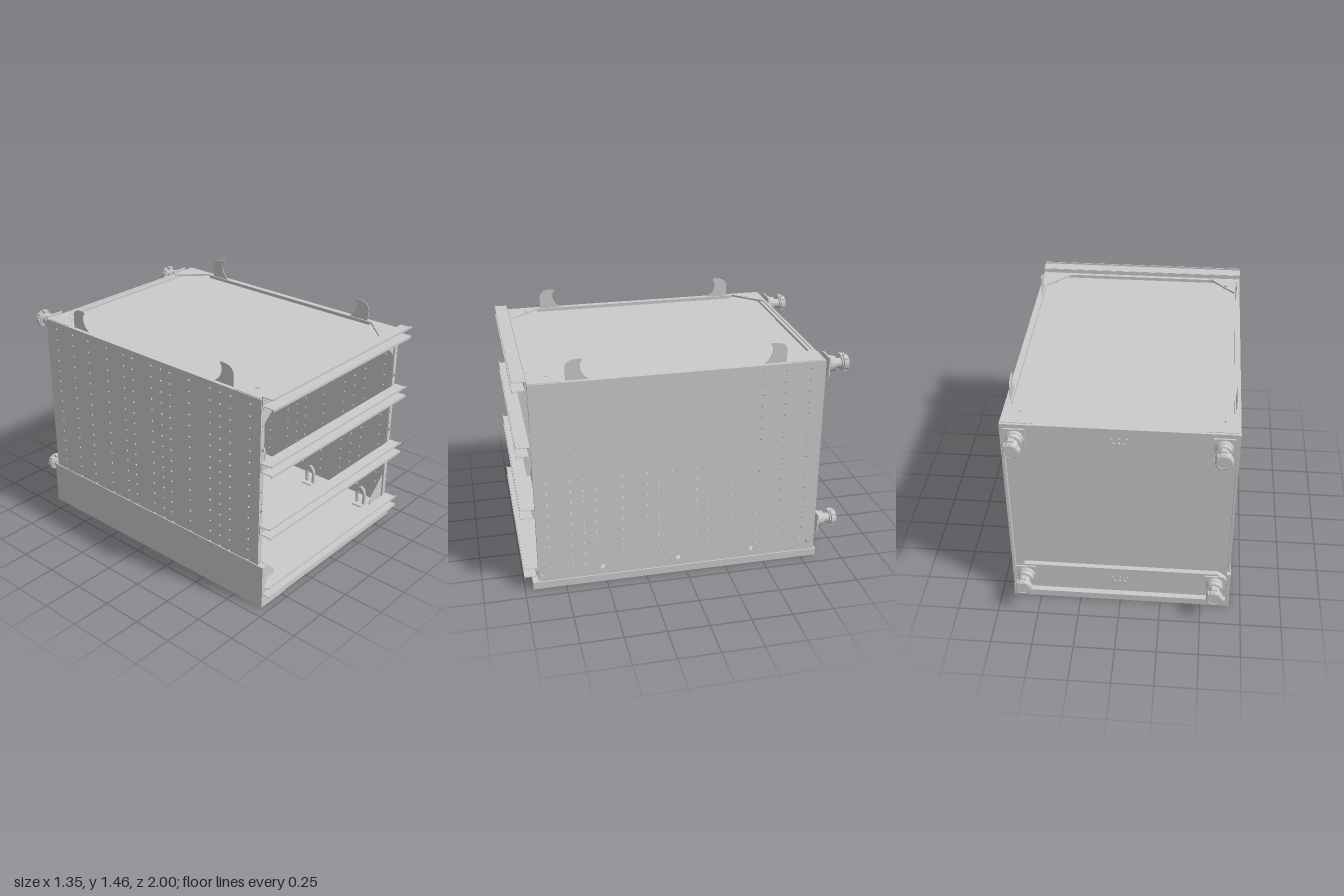
import * as THREE from 'three';

const mat = new THREE.MeshStandardMaterial({ color: 0xcccccc, side: THREE.DoubleSide });
const flat = new THREE.MeshStandardMaterial({ color: 0xcccccc, side: THREE.DoubleSide, flatShading: true });

function add(parent, name, geo, x = 0, y = 0, z = 0, m = mat) {
  const mesh = new THREE.Mesh(geo, m);
  mesh.name = name;
  mesh.position.set(x, y, z);
  parent.add(mesh);
  return mesh;
}

// box given by its extents
function box(parent, name, x0, x1, y0, y1, z0, z1) {
  return add(parent, name, new THREE.BoxGeometry(x1 - x0, y1 - y0, z1 - z0),
    (x0 + x1) / 2, (y0 + y1) / 2, (z0 + z1) / 2);
}

// sheet outline with round holes given as [x, y, radius]
function sheet(points, thickness, holes = []) {
  const s = new THREE.Shape(points.map(p => new THREE.Vector2(p[0], p[1])));
  for (const [x, y, r] of holes) s.holes.push(new THREE.Path().absarc(x, y, r, 0, Math.PI * 2, true));
  return new THREE.ExtrudeGeometry(s, { depth: thickness, bevelEnabled: false, curveSegments: 8 });
}
const rect = (x0, x1, y0, y1) => [[x0, y0], [x1, y0], [x1, y1], [x0, y1]];

function sideWalls(g) {
  const cols = [0.84, 0.70, 0.625, 0.55, 0.39, 0.24, 0.17, 0.09, -0.065, -0.14, -0.285, -0.45, -0.59, -0.74];
  const holes = [];
  for (const z of cols) for (let i = 0; i < 17; i++) holes.push([z, 0.14 + i * 0.0719, 0.006]);
  for (const z of [0.89, 0.52, 0.05, -0.42, -0.79]) holes.push([z, 0.105, 0.015]);
  const geo = sheet(rect(-0.82, 0.915, 0.06, 1.335), 0.008, holes).rotateY(-Math.PI / 2);
  add(g, 'leftWall', geo, 0.672);
  add(g, 'rightWall', geo, -0.664);
}

// open hat-section rail across the front
function rail(g, y) {
  const r = new THREE.Group();
  r.name = 'frontRail';
  const holes = [-0.66, -0.6, -0.495, -0.02, 0, 0.02, 0.495, 0.6, 0.66].map(x => [x, 0, 0.006]);
  add(r, 'railWeb', sheet(rect(-0.675, 0.675, -0.027, 0.027), 0.008, holes), 0, 0, 0.92);
  for (const s of [-1, 1]) {
    add(r, 'railFlange', new THREE.BoxGeometry(1.35, 0.004, 0.076), 0, s * 0.027, 0.96);
    add(r, 'railLip', new THREE.BoxGeometry(1.35, 0.013, 0.004), 0, s * 0.0335, 0.998);
  }
  r.position.y = y;
  g.add(r);
}

// flanged plug on the back, axis along z
function connector(g, x, y) {
  const c = new THREE.Group();
  c.name = 'connector';
  const profile = [[0, -0.04], [0.022, -0.04], [0.022, 0], [0.052, 0.012], [0.052, 0.03], [0.046, 0.032],
    [0.046, 0.058], [0.03, 0.06], [0.03, 0.095], [0.04, 0.097], [0.04, 0.105], [0.05, 0.107],
    [0.05, 0.135], [0.042, 0.14], [0.042, 0.134], [0, 0.134]];
  const geo = new THREE.LatheGeometry(profile.map(p => new THREE.Vector2(p[0], p[1])), 16).rotateX(-Math.PI / 2);
  add(c, 'plugBody', geo, 0, 0, 0, flat);
  add(c, 'plugFlange', new THREE.BoxGeometry(0.12, 0.12, 0.01), 0, 0, -0.007);
  for (let i = 0; i < 8; i++) {
    const a = i * Math.PI / 4;
    add(c, 'plugGrip', new THREE.BoxGeometry(0.012, 0.012, 0.03), 0.046 * Math.cos(a), 0.046 * Math.sin(a), -0.12);
  }
  add(c, 'plugLatch', new THREE.BoxGeometry(0.03, 0.014, 0.03), 0, 0.052, -0.1);
  c.position.set(x, y, -0.86);
  g.add(c);
}

function hookGeometry() {
  const s = new THREE.Shape();
  s.moveTo(0.70, 1.28);
  s.lineTo(0.70, 1.415);
  s.bezierCurveTo(0.695, 1.45, 0.66, 1.465, 0.605, 1.46);
  s.bezierCurveTo(0.59, 1.45, 0.625, 1.44, 0.612, 1.40);
  s.quadraticCurveTo(0.60, 1.355, 0.56, 1.335);
  s.lineTo(0.56, 1.28);
  return new THREE.ExtrudeGeometry(s, { depth: 0.005, bevelEnabled: false, curveSegments: 10 }).rotateY(-Math.PI / 2);
}

// upright ring on a foot plate
function tieDown(g, x, z) {
  const t = new THREE.Group();
  t.name = 'tieDown';
  add(t, 'footPlate', new THREE.BoxGeometry(0.09, 0.008, 0.07), 0, 0.004, 0);
  const arch = new THREE.CatmullRomCurve3([[-0.025, 0], [-0.025, 0.09], [0, 0.125], [0.025, 0.09], [0.025, 0]]
    .map(p => new THREE.Vector3(0, p[1], p[0])));
  add(t, 'arch', new THREE.TubeGeometry(arch, 16, 0.012, 8));
  t.position.set(x, 0.07, z);
  g.add(t);
}

export function createModel() {
  const g = new THREE.Group();
  g.name = 'equipmentCrate';

  // base, floor and skirt
  box(g, 'base', -0.672, 0.672, 0, 0.046, -0.85, 0.95);
  box(g, 'floor', -0.664, 0.664, 0.046, 0.07, -0.815, 0.905);
  box(g, 'skirt', -0.678, -0.672, 0, 0.28, -0.855, 0.955);
  box(g, 'skirtFrontReturn', -0.678, -0.45, 0, 0.046, 0.95, 0.955);
  box(g, 'skirtFrontPost', -0.678, -0.64, 0.05, 0.28, 0.915, 0.955);
  box(g, 'skirtBackPost', -0.678, -0.655, 0.05, 0.28, -0.855, -0.82);

  sideWalls(g);

  // front frame
  const postHoles = [[0.18, 0.006], [0.285, 0.006], [0.63, 0.014], [0.68, 0.008], [0.755, 0.008], [1.02, 0.014],
    [1.17, 0.006], [1.275, 0.006]].map(([y, r]) => [0, y, r]);
  const post = sheet(rect(-0.016, 0.016, 0.06, 1.335), 0.008, postHoles);
  const sill = [-0.57, -0.34, -0.12, 0.11, 0.34, 0.565].map(x => [x, 0.073, 0.013]);
  add(g, 'frontSill', sheet(rect(-0.64, 0.64, 0.05, 0.095), 0.008, sill), 0, 0, 0.907);
  box(g, 'frontHeader', -0.64, 0.64, 1.285, 1.335, 0.907, 0.915);
  for (const s of [-1, 1]) {
    add(g, 'frontPost', post, s * 0.656, 0, 0.907);
    box(g, 'postReturn', s * 0.642 - 0.003, s * 0.642 + 0.003, 0.07, 1.33, 0.87, 0.907);
    add(g, 'upperFrontGusset', sheet([[s * 0.645, 1.32], [s * 0.645, 1.16], [s * 0.505, 1.29], [s * 0.505, 1.32]], 0.005), 0, 0, 0.9);
    add(g, 'lowerFrontGusset', sheet([[s * 0.645, 0.06], [s * 0.645, 0.30], [s * 0.505, 0.16], [s * 0.505, 0.06]], 0.005), 0, 0, 0.9);
  }
  for (const y of [0.122, 0.526, 0.929, 1.332]) rail(g, y);

  // roof panel, raised edge frame and corner plates
  box(g, 'roofPanel', -0.664, 0.664, 1.305, 1.315, -0.815, 0.905);
  for (const s of [-1, 1]) {
    box(g, 'roofSideFrame', s * 0.6555 - 0.0165, s * 0.6555 + 0.0165, 1.328, 1.336, -0.82, 0.915);
    box(g, 'roofSideLip', s * 0.638 - 0.003, s * 0.638 + 0.003, 1.315, 1.336, -0.62, 0.72);
    for (const [z, d] of [[0.905, -1], [-0.815, 1]]) {
      const pts = [[s * 0.665, z], [s * 0.665, z + d * 0.18], [s * 0.64, z + d * 0.18], [s * 0.48, z + d * 0.012], [s * 0.48, z]];
      const holes = [[s * 0.575, z + d * 0.1, 0.013], [s * 0.66, z + d * 0.17, 0.004], [s * 0.49, z + d * 0.006, 0.004]];
      add(g, 'roofCornerPlate', sheet(pts, 0.012, holes).rotateX(Math.PI / 2), 0, 1.339, 0);
    }
  }
  box(g, 'roofFrontFrame', -0.64, 0.64, 1.315, 1.336, 0.89, 0.915);
  box(g, 'roofBackFrame', -0.672, 0.672, 1.315, 1.336, -0.83, -0.812);

  // back panel, posts and cross strips
  box(g, 'backPanel', -0.664, 0.664, 0.06, 1.33, -0.80, -0.79);
  for (const s of [-1, 1]) {
    box(g, 'backPost', s * 0.664 - 0.008, s * 0.664 + 0.008, 0.05, 1.336, -0.832, -0.79);
    for (const y of [0.21, 1.275]) connector(g, s * 0.58, y);
  }
  const dots = y => [-0.03, 0, 0.03].flatMap(x => [[x, y, 0.006], [x * 1.5, y + 0.03, 0.005]]);
  add(g, 'upperBackStrip', sheet([[-0.66, 1.33], [-0.66, 1.2], [-0.6, 1.15], [0.6, 1.15], [0.66, 1.2], [0.66, 1.33]],
    0.03, dots(1.24)), 0, 0, -0.83);
  add(g, 'lowerBackStrip', sheet([[-0.66, 0.085], [0.66, 0.085], [0.66, 0.2], [0.6, 0.25], [-0.6, 0.25], [-0.66, 0.2]],
    0.03, dots(0.15)), 0, 0, -0.83);

  // lifting hooks on the roof edges
  const hook = hookGeometry();
  for (const x of [-0.643, 0.648]) {
    add(g, 'liftingHook', hook, x);
    add(g, 'liftingHook', hook.clone().scale(1, 1, -1), x, 0, 0.105);
  }
  // reversed winding of the mirrored hooks
  g.children.filter(m => m.name === 'liftingHook' && m.position.z > 0).forEach(m => {
    const p = m.geometry.attributes.position;
    for (let i = 0; i < p.count; i += 3) {
      const a = new THREE.Vector3().fromBufferAttribute(p, i), b = new THREE.Vector3().fromBufferAttribute(p, i + 1);
      p.setXYZ(i, b.x, b.y, b.z);
      p.setXYZ(i + 1, a.x, a.y, a.z);
    }
    m.geometry.computeVertexNormals();
  });

  // tie-downs along both sides of the floor
  for (const x of [-0.56, 0.56]) for (const z of [0.80, 0.38, -0.06, -0.55]) tieDown(g, x, z);

  return g;
}
